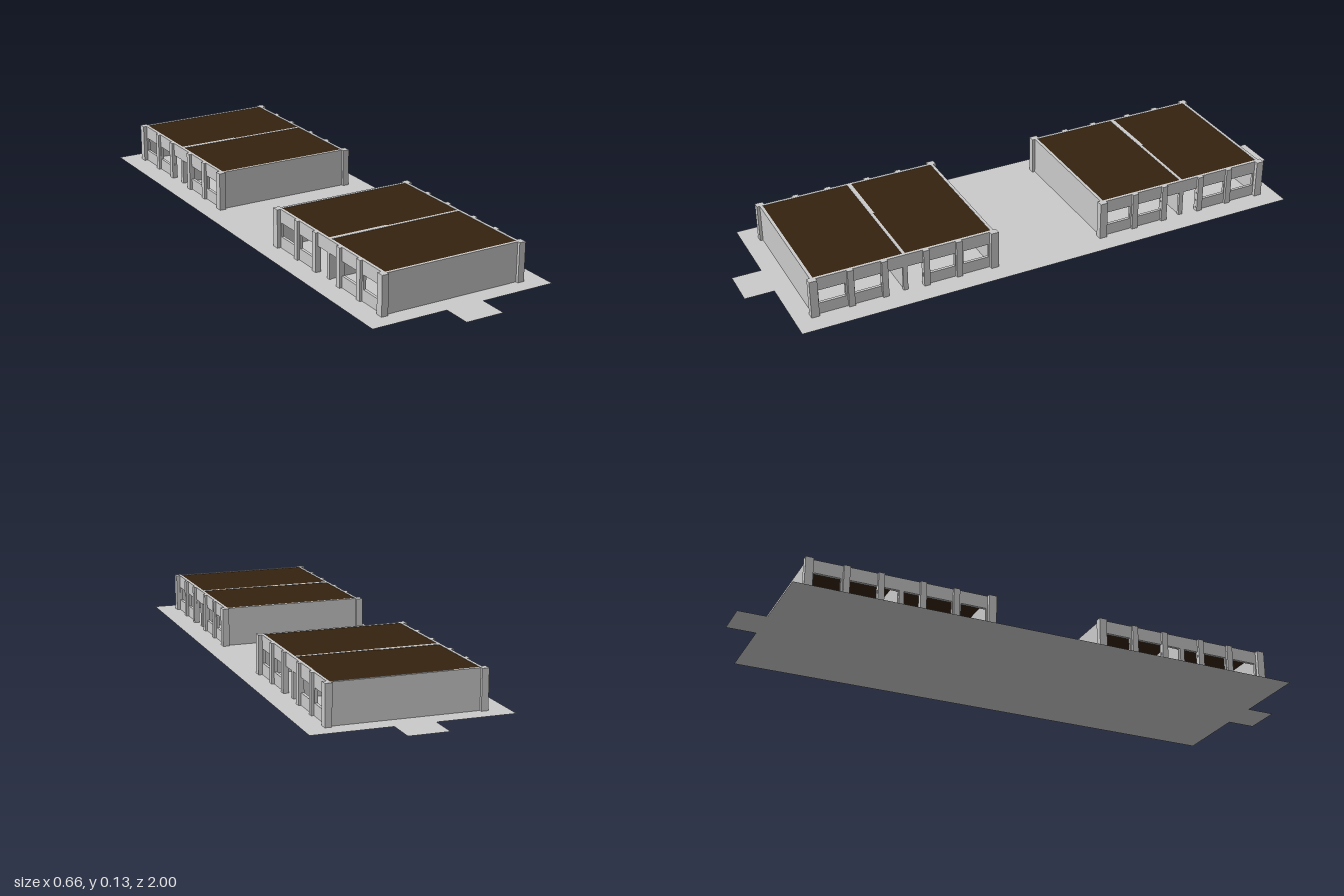
import * as THREE from 'three';

const H = 0.134, HALF_X = 0.25, HALF_Z = 0.317, T = 0.01;
const concrete = new THREE.MeshStandardMaterial({ color: 0xcacaca });
concrete.name = 'pale grey concrete';
concrete.side = THREE.DoubleSide;
const roofing = new THREE.MeshStandardMaterial({ color: 0x35220f });
roofing.name = 'dark brown roofing';

function add(parent, name, geometry, material, x = 0, y = 0, z = 0) {
  const mesh = new THREE.Mesh(geometry, material);
  mesh.name = name;
  mesh.position.set(x, y, z);
  parent.add(mesh);
  return mesh;
}

// Box given by its extents along each axis
function block(parent, name, [x0, x1], [y0, y1], [z0, z1], material = concrete) {
  return add(parent, name, new THREE.BoxGeometry(x1 - x0, y1 - y0, z1 - z0), material,
    (x0 + x1) / 2, (y0 + y1) / 2, (z0 + z1) / 2);
}

// Long wall with two doorways and four windows, drawn in the z-y plane
function sideWallGeometry() {
  const shape = new THREE.Shape();
  const top = 0.088;
  shape.moveTo(-HALF_Z, 0);
  for (const [a, b] of [[-0.061, -0.008], [0.008, 0.061]]) {
    shape.lineTo(a, 0);
    shape.lineTo(a, top);
    shape.lineTo(b, top);
    shape.lineTo(b, 0);
  }
  shape.lineTo(HALF_Z, 0);
  shape.lineTo(HALF_Z, H);
  shape.lineTo(-HALF_Z, H);
  shape.closePath();
  for (const [a, b] of [[-0.295, -0.205], [-0.174, -0.083], [0.083, 0.174], [0.205, 0.295]]) {
    const hole = new THREE.Path();
    hole.moveTo(a, 0.04);
    hole.lineTo(a, top);
    hole.lineTo(b, top);
    hole.lineTo(b, 0.04);
    hole.closePath();
    shape.holes.push(hole);
  }
  const g = new THREE.ExtrudeGeometry(shape, { depth: T, bevelEnabled: false });
  return g.rotateY(-Math.PI / 2);
}

function createBuilding(name) {
  const b = new THREE.Group();
  b.name = name;
  const inX = HALF_X - T, inZ = HALF_Z - T;

  // Outer walls
  const side = sideWallGeometry();
  add(b, 'leftWall', side, concrete, HALF_X);
  add(b, 'rightWall', side, concrete, -inX);
  block(b, 'frontWall', [-inX, inX], [0, H], [inZ, HALF_Z]);
  block(b, 'backWall', [-inX, inX], [0, H], [-HALF_Z, -inZ]);

  // Inner partitions; the cross wall shows between the roof halves
  block(b, 'crossWall', [-inX, inX], [0, H], [-0.005, 0.005]);
  block(b, 'crossWallThickening', [-inX, -0.03], [0, H], [-0.01, -0.005]);
  block(b, 'lengthwiseWall', [-0.005, 0.005], [0, H - 0.005], [-inZ, inZ]);

  // Pillars
  for (const s of [-1, 1]) {
    for (const e of [-1, 1]) {
      add(b, 'cornerPillar', new THREE.BoxGeometry(0.023, H, 0.027), concrete,
        s * 0.2515, H / 2, e * 0.3135);
    }
    for (const z of [-0.188, -0.072, 0.072, 0.188]) {
      add(b, 'sidePillar', new THREE.BoxGeometry(0.014, H, 0.021), concrete, s * 0.252, H / 2, z);
    }
  }

  // Flat roof halves set just below the wall tops
  const roofY = [H - 0.005, H - 0.001];
  block(b, 'frontRoof', [-inX, inX], roofY, [0.005, inZ], roofing);
  block(b, 'backRoof', [-inX, inX], roofY, [-inZ, -0.005], roofing);
  return b;
}

export function createModel() {
  const model = new THREE.Group();
  model.name = 'twinBuildings';

  // Ground sheet with a path stub at each end
  const pts = [[-0.33, -0.9], [-0.067, -0.9], [-0.067, -1], [0.067, -1], [0.067, -0.9], [0.33, -0.9],
    [0.33, 0.9], [0.067, 0.9], [0.067, 1], [-0.067, 1], [-0.067, 0.9], [-0.33, 0.9]];
  const outline = new THREE.Shape(pts.map(([x, y]) => new THREE.Vector2(x, y)));
  add(model, 'ground', new THREE.ShapeGeometry(outline).rotateX(-Math.PI / 2), concrete);

  for (const [name, z] of [['frontBuilding', 0.5175], ['backBuilding', -0.5175]]) {
    const building = createBuilding(name);
    building.position.z = z;
    model.add(building);
  }
  return model;
}
